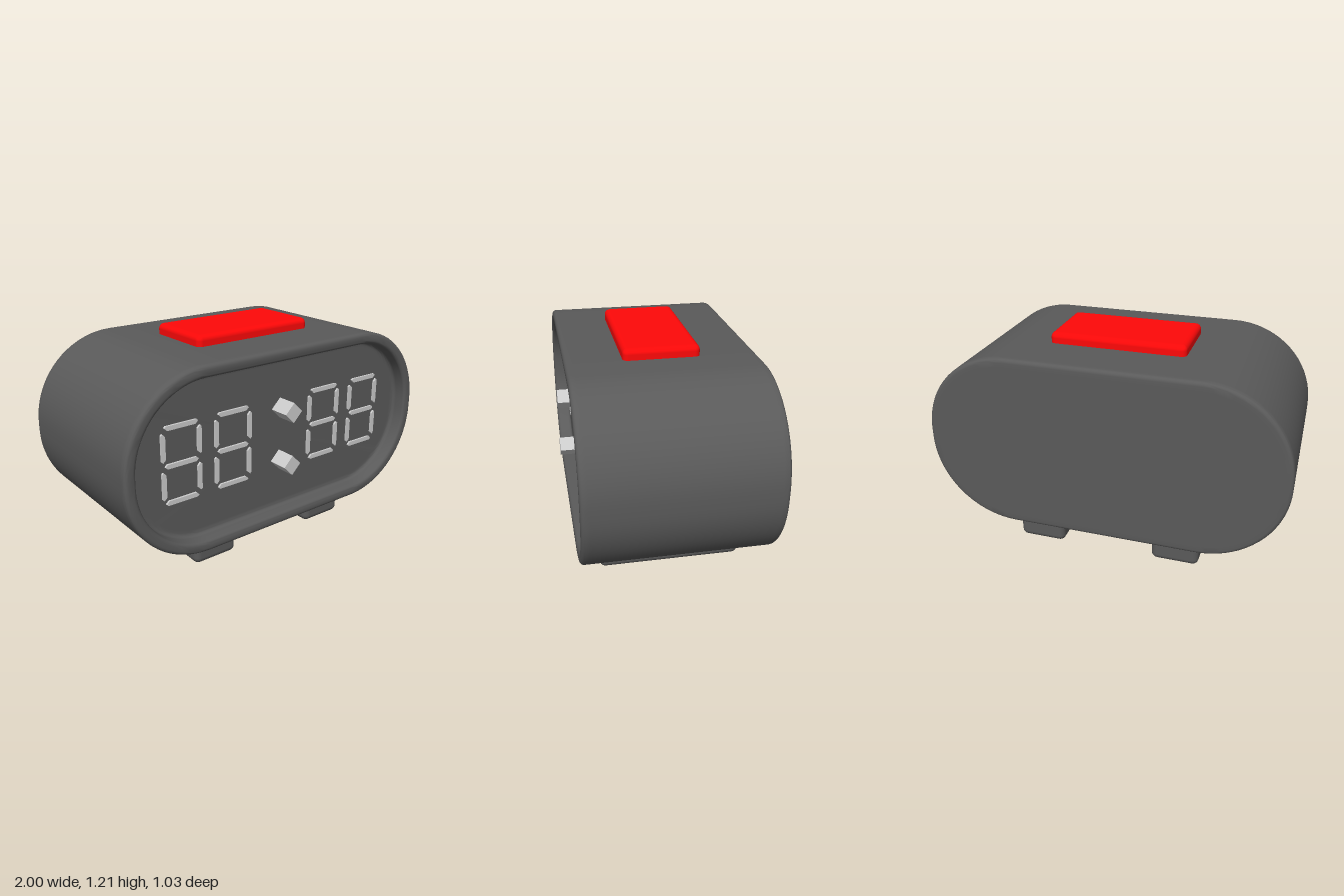
import * as THREE from 'three';
import { toCreasedNormals } from 'three/addons/utils/BufferGeometryUtils.js';
import { RoundedBoxGeometry } from 'three/addons/geometries/RoundedBoxGeometry.js';

const CENTER_Y = 0.653;
const BACK = -0.515, FRONT = 0.485, PANEL = 0.4;

const dark = new THREE.MeshStandardMaterial({ color: 0x5a5a5a });
const light = new THREE.MeshStandardMaterial({ color: 0xcccccc });
const red = new THREE.MeshStandardMaterial({ color: 0xff0808 });

function add(parent, name, geometry, material, x = 0, y = 0, z = 0) {
  const mesh = new THREE.Mesh(geometry, material);
  mesh.name = name;
  mesh.position.set(x, y, z);
  parent.add(mesh);
  return mesh;
}

// Rounded-rectangle outline, counter-clockwise, shrunk by an inset
function outline(inset) {
  const radius = 0.475, steps = 18, points = [];
  const a = 1 - radius, b = 0.5 - radius, r = radius - inset;
  [[1, 1], [-1, 1], [-1, -1], [1, -1]].forEach(([sx, sy], q) => {
    for (let i = 0; i <= steps; i++) {
      const t = (q + i / steps) * Math.PI / 2;
      points.push([sx * a + r * Math.cos(t), sy * b + r * Math.sin(t)]);
    }
  });
  return points;
}

// Body skin: outlines lofted along an [inset, z] profile, back centre to display centre
function bodyGeometry() {
  const r = 0.022, profile = [[null, BACK], [0.05, BACK]];
  const arc = (inset, z, from, to) => {
    for (let i = 0; i <= 5; i++) {
      const t = from + (to - from) * i / 5;
      profile.push([inset - r * Math.cos(t), z + r * Math.sin(t)]);
    }
  };
  const h = Math.PI / 2;
  arc(r, BACK + r, -h, 0);
  profile.push([0, BACK + 0.04], [0, FRONT - 0.04]);
  arc(r, FRONT - r, 0, h);
  // Rounded lip, recess wall and the fillet at its foot
  arc(0.043, FRONT - r, h, 2 * h);
  arc(0.065 + r, PANEL + r, 0, -h);
  profile.push([0.1, PANEL], [null, PANEL]);

  const positions = [], indices = [];
  const n = outline(0).length;
  for (const [inset, z] of profile) {
    for (const [x, y] of outline(inset ?? 0)) {
      positions.push(inset === null ? 0 : x, inset === null ? 0 : y, z);
    }
  }
  for (let i = 0; i < profile.length - 1; i++) {
    for (let j = 0; j < n; j++) {
      const k = (j + 1) % n;
      const a = i * n + j, b = i * n + k, c = a + n, d = b + n;
      if (profile[i][0] !== null) indices.push(a, b, c);
      if (profile[i + 1][0] !== null) indices.push(b, d, c);
    }
  }
  const geometry = new THREE.BufferGeometry();
  geometry.setAttribute('position', new THREE.Float32BufferAttribute(positions, 3));
  geometry.setIndex(indices);
  return toCreasedNormals(geometry, 0.6);
}

// Display segment along x with tapered ends; shoulder is the height of the end points
function segmentGeometry(length, shoulder) {
  const l = length / 2, t = 0.012;
  const inner = t + shoulder, outer = t - shoulder;
  const corners = [[-l, shoulder], [-l + inner, -t], [l - inner, -t], [l, shoulder], [l - outer, t], [-l + outer, t]];
  const shape = new THREE.Shape(corners.map(([x, y]) => new THREE.Vector2(x, y)));
  return new THREE.ExtrudeGeometry(shape, { depth: 0.02, bevelEnabled: false });
}

function createDigit() {
  const digit = new THREE.Group();
  digit.name = 'digit';
  const bar = segmentGeometry(0.195, 0.004);
  const side = segmentGeometry(0.152, 0.004);
  add(digit, 'topSegment', bar, light, 0, 0.2);
  add(digit, 'middleSegment', segmentGeometry(0.195, 0), light);
  add(digit, 'bottomSegment', bar, light, 0, -0.197).rotation.z = Math.PI;
  for (const sx of [-1, 1]) {
    for (const sy of [-1, 1]) {
      add(digit, 'sideSegment', side, light, sx * 0.106, sy * 0.101).rotation.z = -sx * Math.PI / 2;
    }
  }
  return digit;
}

export function createModel() {
  const clock = new THREE.Group();
  clock.name = 'alarmClock';

  add(clock, 'body', bodyGeometry(), dark, 0, CENTER_Y);

  // Snooze button
  add(clock, 'snoozeButton', new RoundedBoxGeometry(0.755, 0.12, 0.405, 4, 0.03), red, 0, 1.152, -0.013);

  // Feet
  for (const x of [-0.398, 0.398]) {
    add(clock, 'foot', new RoundedBoxGeometry(0.27, 0.24, 0.79, 4, 0.035), dark, x, 0.12, -0.037);
  }

  // Digits on the recessed panel
  for (const x of [-0.638, -0.32, 0.32, 0.638]) {
    const digit = createDigit();
    digit.position.set(x, CENTER_Y + 0.003, PANEL - 0.008);
    clock.add(digit);
  }

  // Colon between the digit pairs
  for (const y of [0.807, 0.505]) {
    const dot = add(clock, 'colonDot', new THREE.BoxGeometry(0.08, 0.08, 0.14), light, 0, y, 0.445);
    dot.rotation.z = Math.PI / 4;
  }

  return clock;
}
